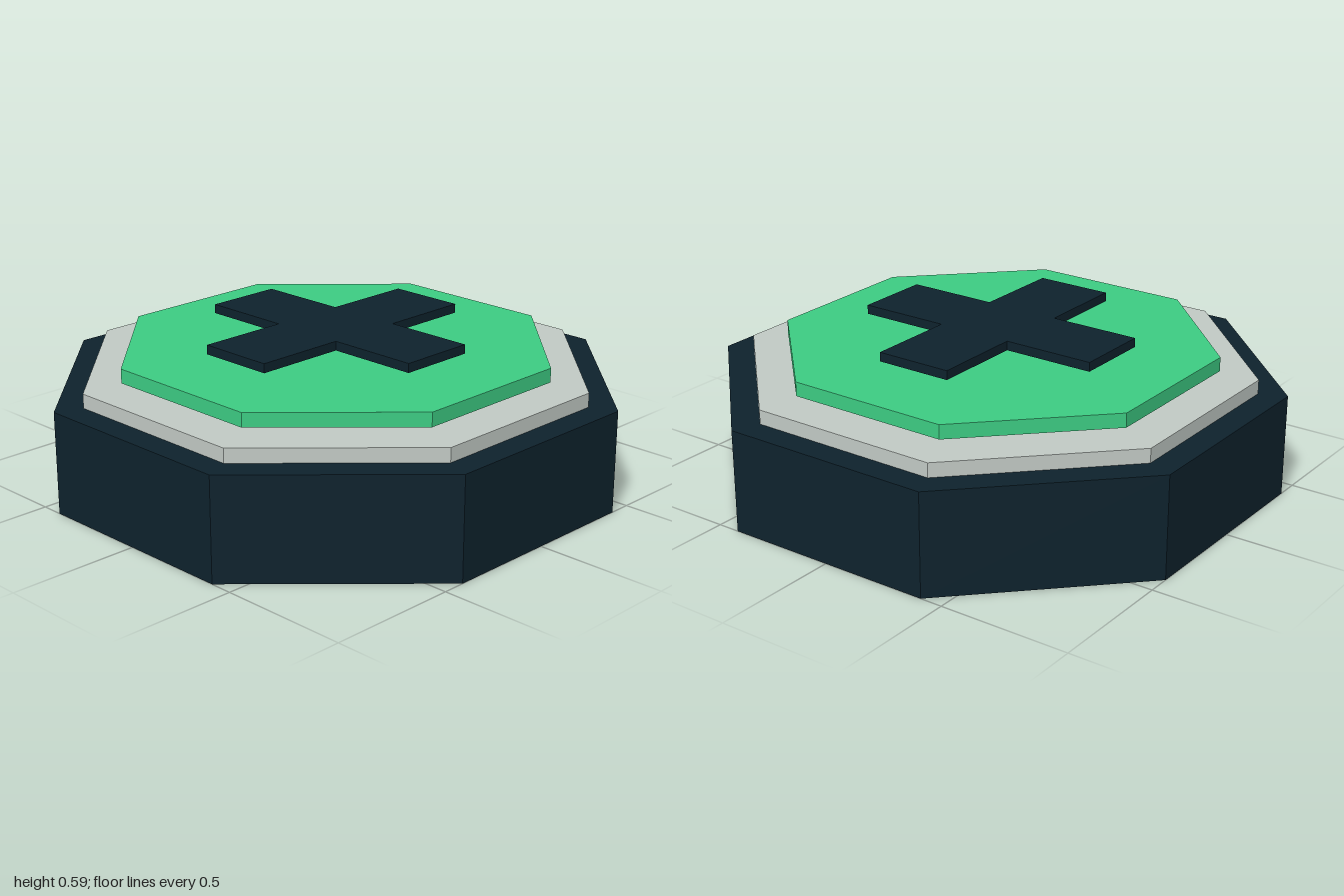
import * as THREE from 'three';

const material = (name, color) => {
  const m = new THREE.MeshStandardMaterial({ color, flatShading: true });
  m.name = name;
  return m;
};

export function createModel() {
  const group = new THREE.Group();
  const navy = material('dark navy', 0x0e222d);
  const grey = material('pale grey', 0xc2cac5);
  const green = material('green', 0x3dcc83);

  // Octagonal slab with flat sides facing the axes
  const addSlab = (name, halfWidth, bottom, top, mat) => {
    const radius = halfWidth / Math.cos(Math.PI / 8);
    const geometry = new THREE.CylinderGeometry(radius, radius, top - bottom, 8);
    geometry.rotateY(Math.PI / 8);
    const mesh = new THREE.Mesh(geometry, mat);
    mesh.name = name;
    mesh.position.y = (bottom + top) / 2;
    group.add(mesh);
  };

  addSlab('base', 1, 0, 0.39, navy);
  addSlab('rim', 0.9, 0.39, 0.444, grey);
  addSlab('topPlate', 0.768, 0.465, 0.519, green);

  // Raised cross, floating just above the plate
  const a = 0.15, b = 0.506;
  const outline = [
    [a, a], [a, b], [-a, b], [-a, a], [-b, a], [-b, -a],
    [-a, -a], [-a, -b], [a, -b], [a, -a], [b, -a], [b, a],
  ].map(([x, y]) => new THREE.Vector2(x, y));
  const crossGeometry = new THREE.ExtrudeGeometry(new THREE.Shape(outline), {
    depth: 0.035, bevelEnabled: false,
  });
  crossGeometry.rotateX(-Math.PI / 2);
  const cross = new THREE.Mesh(crossGeometry, navy);
  cross.name = 'cross';
  cross.position.y = 0.552;
  group.add(cross);

  return group;
}
